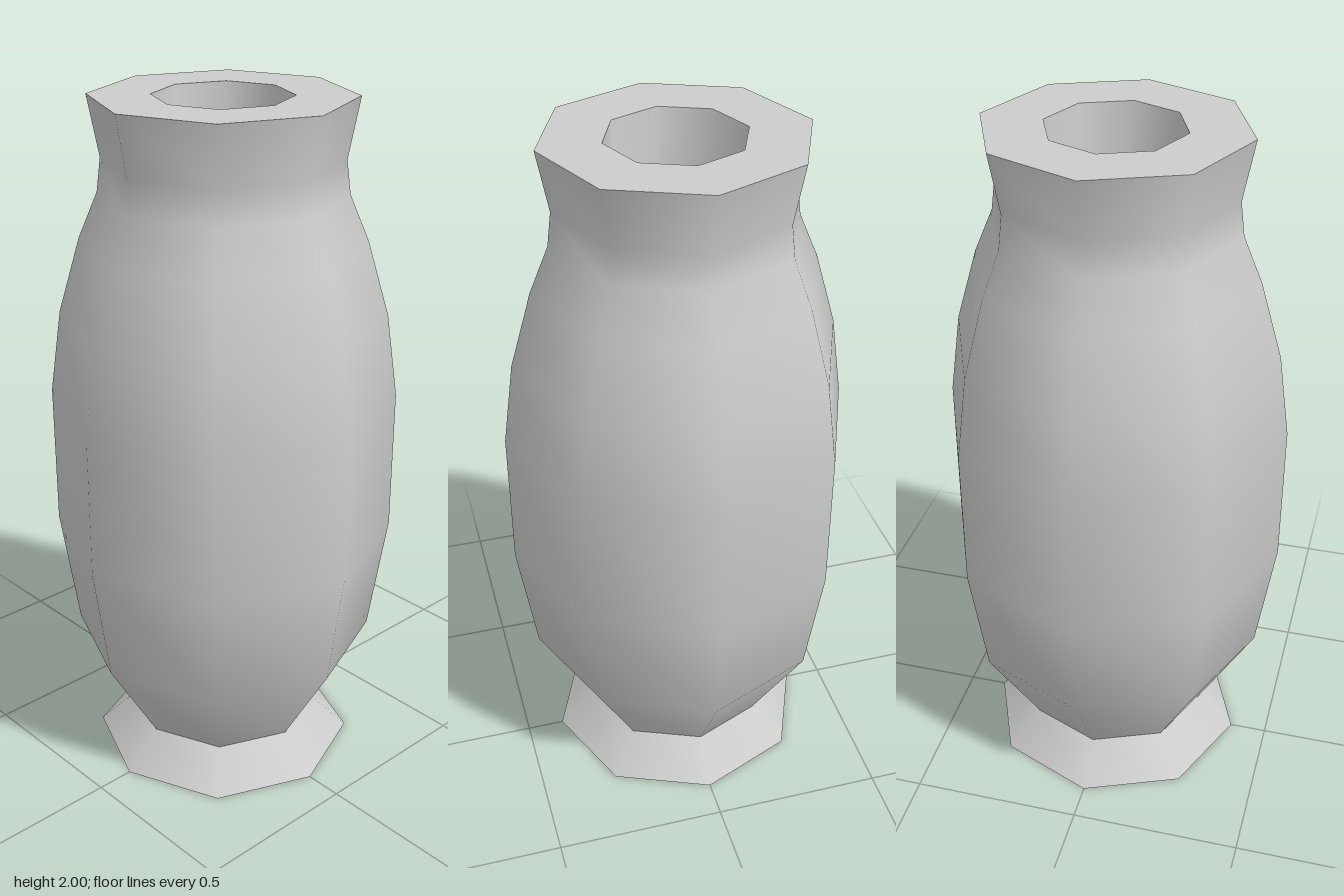
import * as THREE from 'three';

const SIDES = 8;

export function createModel() {
  const vase = new THREE.Group();
  vase.name = 'vase';
  const clay = new THREE.MeshStandardMaterial({ color: 0xcccccc });
  clay.name = 'grey clay';

  // Each part is an eight-sided lathe; separate parts keep sharp edges between them
  const addPart = (name, profile) => {
    const points = profile.map(([r, y]) => new THREE.Vector2(r, y));
    const mesh = new THREE.Mesh(new THREE.LatheGeometry(points, SIDES), clay);
    mesh.name = name;
    vase.add(mesh);
  };

  addPart('base', [[0, 0], [0.39, 0]]);
  addPart('foot', [[0.39, 0], [0.28, 0.105]]);
  // Belly, shoulder and flared neck in one smooth wall
  addPart('body', [
    [0.28, 0.105], [0.445, 0.385], [0.497, 0.735], [0.497, 1.15], [0.463, 1.39],
    [0.4, 1.605], [0.345, 1.735], [0.333, 1.83], [0.365, 2],
  ]);
  addPart('rim', [[0.365, 2], [0.193, 2]]);
  // Tapering hollow with a small floor
  addPart('hollow', [[0.193, 2], [0.04, 0.4]]);
  addPart('hollowFloor', [[0.04, 0.4], [0, 0.4]]);

  return vase;
}
